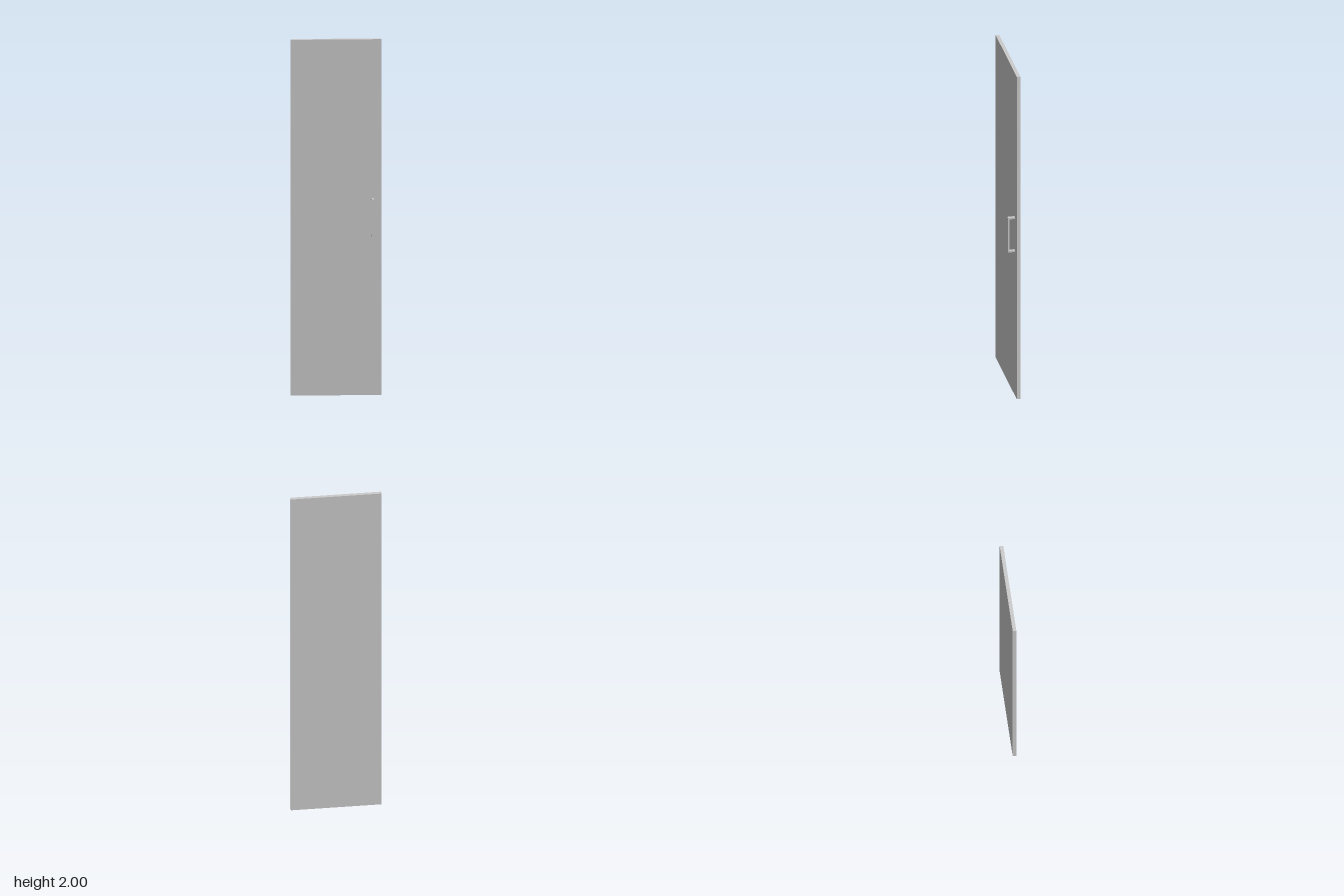
import * as THREE from 'three';

const material = new THREE.MeshStandardMaterial({ color: 0xcccccc });

function addBox(parent, name, size, position) {
  const mesh = new THREE.Mesh(new THREE.BoxGeometry(...size), material);
  mesh.name = name;
  mesh.position.set(...position);
  parent.add(mesh);
}

export function createModel() {
  const door = new THREE.Group();
  door.name = 'cabinetDoor';

  // Flat door panel
  addBox(door, 'panel', [0.5, 2, 0.02], [0, 1, -0.02]);

  // Square-section pull handle: a vertical grip on two posts
  const handle = new THREE.Group();
  handle.name = 'handle';
  handle.position.set(0.2, 1, 0);
  const width = 0.015, thick = 0.01, height = 0.215;
  addBox(handle, 'grip', [width, height, thick], [0, 0, 0.025]);
  for (const side of [-1, 1]) {
    addBox(handle, side > 0 ? 'upperPost' : 'lowerPost',
      [width, thick, 0.03], [0, side * (height - thick) / 2, 0.005]);
  }
  door.add(handle);

  return door;
}
